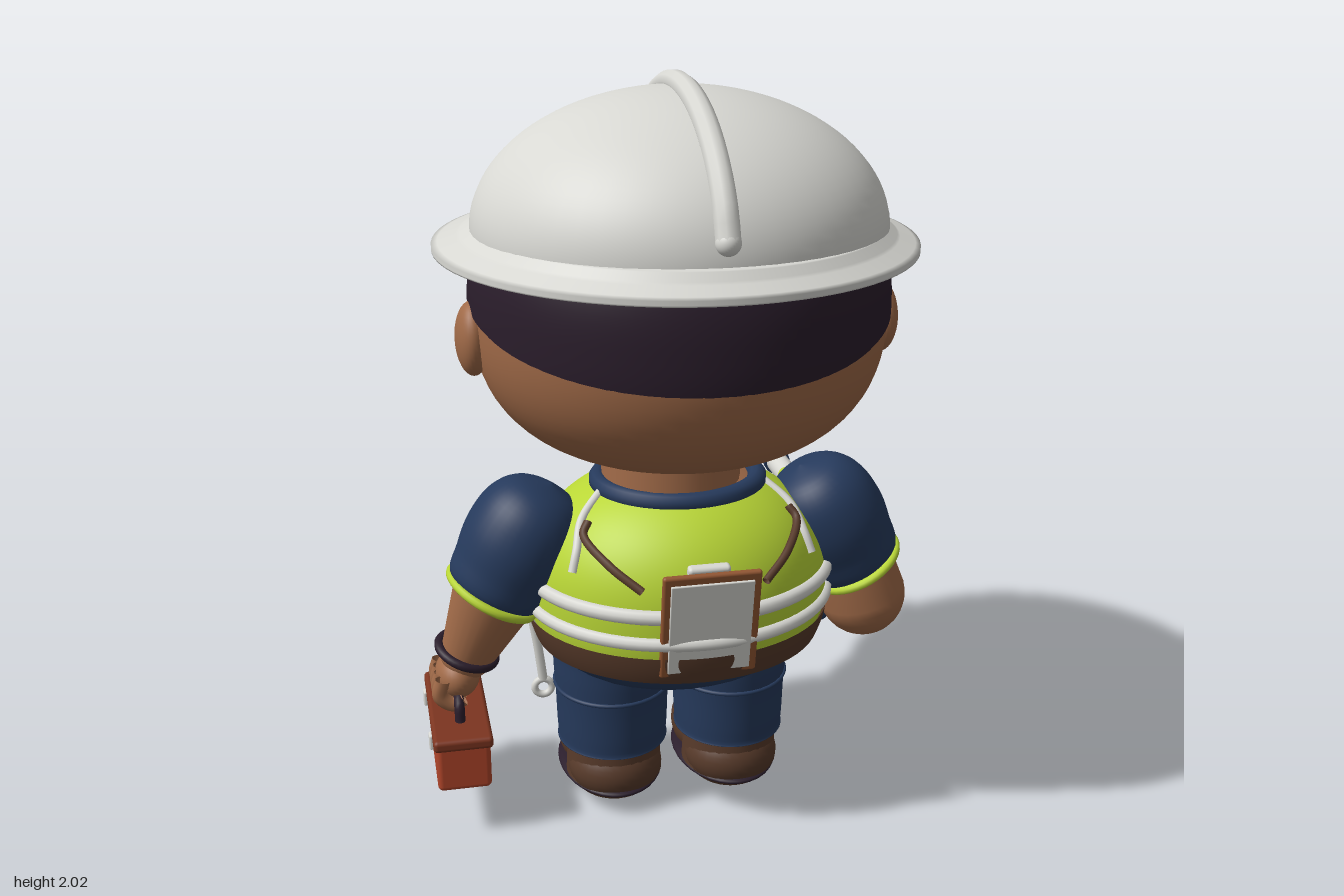
import * as THREE from 'three';
import { RoundedBoxGeometry } from 'three/addons/geometries/RoundedBoxGeometry.js';
import { ParametricGeometry } from 'three/addons/geometries/ParametricGeometry.js';

const paint = (name, color) => new THREE.MeshStandardMaterial({ name, color, side: THREE.DoubleSide });
const V = (x, y, z) => new THREE.Vector3(x, y, z);
const CX = 0.02, CZ = 0.13;

export function createModel() {
  const white = paint('white', 0xd8d8d3), lime = paint('lime', 0xb9d636), navy = paint('navy', 0x263a5c),
    skin = paint('skin', 0xa06a48), dark = paint('darkPlum', 0x2a1d2b), brown = paint('brown', 0x573a2a),
    red = paint('red', 0xb0452a), lidRed = paint('darkRed', 0x7c3520), yellow = paint('yellow', 0xcf9f30),
    tan = paint('tan', 0x935632);
  const root = new THREE.Group();

  // Helpers
  const add = (name, geo, mat, pos = [0, 0, 0], rot = [0, 0, 0], scale = [1, 1, 1]) => {
    const m = new THREE.Mesh(geo, mat);
    m.name = name;
    m.position.set(...pos);
    m.rotation.set(...rot);
    m.scale.set(...scale);
    root.add(m);
    return m;
  };
  const ball = (name, mat, pos, radii, rot) => add(name, new THREE.SphereGeometry(1, 32, 20), mat, pos, rot, radii);
  const box = (name, mat, pos, size, r = 0.01, rot) => add(name, new RoundedBoxGeometry(...size, 3, r), mat, pos, rot);
  const rod = (name, mat, pos, r1, r2, len, rot) => add(name, new THREE.CylinderGeometry(r1, r2, len, 28), mat, pos, rot);
  const tube = (name, mat, pts, r, closed = false) =>
    add(name, new THREE.TubeGeometry(new THREE.CatmullRomCurve3(pts, closed), closed ? 72 : 28, r, 10, closed), mat);
  const sheet = (name, mat, f, nu = 64, nv = 16) =>
    add(name, new ParametricGeometry((u, v, t) => t.copy(f(u, v)), nu, nv), mat);
  const aim = (mesh, from, to) => {
    mesh.position.copy(from);
    mesh.quaternion.setFromUnitVectors(V(0, 1, 0), to.clone().sub(from).normalize());
    return mesh;
  };
  // Tapered limb with round ends
  const limb = (name, mat, a, b, ra, rb) => {
    const len = a.distanceTo(b), pts = [];
    for (let i = 0; i <= 8; i++) pts.push(new THREE.Vector2(ra * Math.sin(i * Math.PI / 16), -ra * Math.cos(i * Math.PI / 16)));
    for (let i = 0; i <= 8; i++) pts.push(new THREE.Vector2(rb * Math.cos(i * Math.PI / 16), len + rb * Math.sin(i * Math.PI / 16)));
    return aim(add(name, new THREE.LatheGeometry(pts, 28), mat), a, b);
  };
  const smoothLathe = pts => new THREE.LatheGeometry(
    new THREE.SplineCurve(pts.map(p => new THREE.Vector2(...p))).getPoints(30).map(p => p.setX(Math.max(p.x, 0))), 36);

  // Head: rounded, slightly boxy egg
  const headR = y => Math.pow(Math.max(0, 1 - Math.pow(Math.abs((y - 1.42) / 0.405), 2.5)), 0.4);
  const headAt = (a, y, k = 1) => V(CX + 0.535 * k * headR(y) * Math.sin(a), y, 0.14 + 0.512 * k * headR(y) * Math.cos(a));
  sheet('head', skin, (u, v) => {
    const b = (v - 0.5) * Math.PI * 0.998, s = Math.sin(b);
    return headAt(u * 2 * Math.PI, 1.42 + 0.405 * Math.sign(s) * Math.pow(Math.abs(s), 0.8));
  }, 64, 40);
  sheet('hair', dark, (u, v) => {
    const a = (u - 0.5) * 2 * 2.1, z = 0.14 + 0.51 * Math.cos(a);
    const low = 1.32 + 0.215 * (0.65 - z) + 0.08 * Math.pow(Math.abs(u - 0.5) * 2, 20);
    return headAt(a, low + (1.62 - low) * v, v < 0.01 ? 0.99 : 1.015);
  }, 64, 14);
  // Face features, placed on the head surface
  const onFace = (name, mat, dx, y, radii, out = 0, roll = 0) => {
    const a = Math.PI - Math.asin(dx / (0.535 * headR(y))), p = headAt(a, y);
    p.x += out * Math.sin(a);
    p.z += out * Math.cos(a);
    const m = ball(name, mat, p.toArray(), radii);
    m.rotation.set(0, a, roll, 'YXZ');
    return m;
  };
  for (const s of [-1, 1]) {
    ball('ear', skin, [CX + s * 0.535, 1.36, 0.16], [0.045, 0.096, 0.078]);
    onFace('eye', dark, s * 0.19, 1.4, [0.052, 0.067, 0.022]);
    onFace('eyeGlint', white, s * 0.19 + 0.015, 1.43, [0.012, 0.014, 0.008], 0.019);
    onFace('eyebrow', dark, s * 0.2, 1.525, [0.105, 0.042, 0.03], 0, s * 0.15);
    onFace('moustache', dark, s * 0.062, 1.19, [0.075, 0.03, 0.035], 0.005, s * 0.25);
  }
  ball('nose', skin, [CX, 1.325, -0.388], [0.055, 0.055, 0.045]);
  onFace('mouth', lidRed, 0, 1.14, [0.085, 0.035, 0.022]);
  onFace('lip', tan, 0, 1.115, [0.06, 0.014, 0.03]);
  rod('neck', skin, [0, 0.98, CZ], 0.18, 0.19, 0.2);

  // Hard hat
  add('helmetDome', new THREE.SphereGeometry(1, 56, 24, 0, Math.PI * 2, 0, Math.PI / 2), white, [CX, 1.62, 0.14], [0, 0, 0], [0.53, 0.348, 0.508]);
  const brim = [[0.48, 1.57], [0.6, 1.56], [0.632, 1.566], [0.632, 1.58], [0.57, 1.605], [0.535, 1.63], [0.49, 1.635]];
  sheet('helmetBrim', white, (u, v) => {
    const f = v * (brim.length - 1), i = Math.min(Math.floor(f), brim.length - 2), k = f - i;
    const r = brim[i][0] + (brim[i + 1][0] - brim[i][0]) * k, y = brim[i][1] + (brim[i + 1][1] - brim[i][1]) * k;
    const a = u * Math.PI * 2, c = 0.14 - 0.055 * (r - 0.5) / 0.135;
    return V(CX + r * 0.985 * Math.sin(a), y, c + r * 1.008 * Math.cos(a));
  }, 72, 24);
  const ridge = [];
  for (let i = 0; i <= 14; i++) {
    const a = 0.2 + i * (2.68 - 0.2) / 14;
    ridge.push(V(CX, 1.62 + 0.352 * Math.sin(a), 0.14 + 0.52 * Math.cos(a)));
  }
  tube('helmetRidge', white, ridge, 0.03);
  for (const p of [ridge[0], ridge[14]]) ball('ridgeEnd', white, p.toArray(), [0.03, 0.03, 0.03]);
  box('helmetClip', lime, [CX, 1.82, -0.297], [0.125, 0.03, 0.055], 0.01, [-0.7, 0, 0]);
  for (const s of [-1, 1]) box('clipSlot', navy, [CX + s * 0.038, 1.832, -0.306], [0.022, 0.016, 0.03], 0.004, [-0.7, 0, 0]);

  // Torso: chest, vest, belt; angle 0 is the back, PI is the chest
  const bodyAt = (a, y, off = 0) => {
    const r = 0.41 * Math.sqrt(Math.max(0, 1 - Math.pow(Math.abs((y - 0.64) / 0.34), 2.4)));
    return V(CX + (r + off) * Math.sin(a), y, CZ + (r * 0.88 + off) * Math.cos(a));
  };
  const ring = (name, mat, y, r, off = 0) =>
    tube(name, mat, Array.from({ length: 40 }, (_, i) => bodyAt(i * Math.PI / 20, y, off)), r, true);
  const gap = y => Math.max(0, (y - 0.73) / 0.2) * 0.8;
  sheet('chest', skin, (u, v) => bodyAt(u * 2 * Math.PI, 0.5 + 0.475 * v, -0.02), 64, 24);
  sheet('vest', lime, (u, v) => {
    const y = 0.56 + 0.38 * v;
    return bodyAt((u - 0.5) * 2 * (Math.PI - gap(y)), y);
  }, 72, 28);
  sheet('belt', brown, (u, v) => bodyAt(u * 2 * Math.PI, 0.495 + 0.08 * v, 0.008), 64, 8);
  ring('vestStripe', white, 0.69, 0.02);
  ring('vestStripe', white, 0.615, 0.018);
  ring('shirtCollar', navy, 0.935, 0.026, -0.006);
  for (const s of [-1, 1]) {
    const lapel = [0.73, 0.78, 0.83, 0.88, 0.93];
    tube('lapelPiping', white, lapel.map(y => bodyAt(Math.PI - s * gap(y), y, 0.002)), 0.012);
    tube('shirtLapel', navy, lapel.slice(1).map(y => bodyAt(Math.PI - s * (gap(y) - 0.09), y, -0.012)), 0.018);
    tube('armholePiping', white, [[1.3, 0.935], [1.12, 0.88], [0.98, 0.82], [0.95, 0.77]].map(([a, y]) => bodyAt(s * a, y, 0.003)), 0.012);
    tube('backStrap', brown, [[1.02, 0.885], [0.98, 0.86], [0.66, 0.81], [0.41, 0.76]].map(([a, y]) => bodyAt(s * a, y, 0.012)), 0.011);
    tube('lanyard', tan, [[0.6, 0.92], [0.3, 0.85], [0.03, 0.79]].map(([a, y]) => bodyAt(Math.PI - s * a, y, -0.01)), 0.01);
  }
  box('badge', white, [CX, 0.765, -0.212], [0.045, 0.07, 0.012], 0.005, [-0.3, 0, 0]);
  box('zip', white, [CX, 0.655, -0.234], [0.022, 0.15, 0.016], 0.005);
  box('beltBuckle', white, [CX, 0.535, -0.228], [0.09, 0.055, 0.02], 0.006);
  box('buckleCentre', navy, [CX, 0.535, -0.238], [0.05, 0.028, 0.012], 0.004);

  // Clipboard on the back
  const tilt = [0.17, 0, 0];
  box('clipboard', tan, [0.027, 0.67, 0.49], [0.255, 0.31, 0.018], 0.008, tilt);
  box('paper', white, [0.027, 0.665, 0.501], [0.215, 0.27, 0.008], 0.003, tilt);
  box('paperClip', white, [0.025, 0.815, 0.483], [0.11, 0.032, 0.03], 0.01, tilt);

  // Trousers and shoes
  ball('hips', navy, [0.015, 0.5, CZ], [0.355, 0.145, 0.285]);
  for (const s of [-1, 1]) {
    const x = 0.005 + s * 0.168;
    add('trouserLeg', smoothLathe([[0, 0.165], [0.14, 0.165], [0.152, 0.18], [0.157, 0.3], [0.162, 0.42], [0.15, 0.52], [0, 0.56]]), navy, [x, 0, 0.11], [0, 0, 0], [1, 1, 1.06]);
    add('legSeam', new THREE.TorusGeometry(0.159, 0.006, 8, 48), navy, [x, 0.335, 0.11], [Math.PI / 2, 0, 0], [1, 1.06, 1]);
    box('thighPocket', navy, [x + s * 0.03, 0.36, -0.06], [0.13, 0.15, 0.04], 0.015, [0, s * -0.2, 0]);
    box('pocketFlap', navy, [x + s * 0.03, 0.42, -0.068], [0.14, 0.035, 0.045], 0.012, [0, s * -0.2, 0]);
    rod('bootShaft', brown, [x, 0.125, 0.13], 0.128, 0.135, 0.13);
    ball('bootToe', brown, [x, 0.1, -0.005], [0.137, 0.115, 0.155]);
    ball('bootHeel', brown, [x, 0.09, 0.15], [0.132, 0.1, 0.125]);
    ball('bootSole', dark, [x, 0.05, 0.058], [0.147, 0.026, 0.22]);
    ball('bootTread', dark, [x, 0.03, 0.06], [0.1, 0.03, 0.17]);
  }

  // Belt tools
  ball('tapeMeasure', yellow, [-0.2, 0.47, -0.19], [0.07, 0.062, 0.055]);
  box('pouch', tan, [0.375, 0.46, 0], [0.06, 0.13, 0.11], 0.02, [0, 0.3, 0]);
  tube('wrenchHandle', white, [V(-0.385, 0.56, 0.1), V(-0.37, 0.47, 0.1), V(-0.355, 0.345, 0.1)], 0.013);
  add('wrenchRing', new THREE.TorusGeometry(0.024, 0.01, 10, 24), white, [-0.355, 0.32, 0.1]);

  // Sleeves
  for (const s of [-1, 1]) {
    const cuff = V(CX + s * 0.51, 0.64, CZ), top = V(CX + s * 0.412, 0.814, CZ);
    aim(add('sleeve', smoothLathe([[0, 0.005], [0.12, 0], [0.145, 0.08], [0.156, 0.17], [0.14, 0.26], [0.09, 0.32], [0, 0.345]]), navy), cuff, top);
    const trim = aim(add('sleeveTrim', new THREE.TorusGeometry(0.124, 0.012, 10, 40).rotateX(Math.PI / 2), lime), cuff, top);
    trim.scale.set(1, 1, 1.1);
  }

  // Arm carrying the toolbox
  limb('leftForearm', skin, V(-0.485, 0.63, CZ), V(-0.56, 0.45, 0.1), 0.115, 0.075);
  aim(add('bracelet', new THREE.TorusGeometry(0.08, 0.013, 10, 36).rotateX(Math.PI / 2), dark), V(-0.562, 0.455, 0.1), V(-0.5, 0.63, CZ));
  ball('leftHand', skin, [-0.59, 0.385, 0.09], [0.062, 0.065, 0.085]);
  for (let i = 0; i < 4; i++) {
    const z = 0.03 + i * 0.042;
    tube('leftFinger', skin, [V(-0.635, 0.4, z), V(-0.645, 0.355, z), V(-0.61, 0.325, z), V(-0.58, 0.34, z)], 0.021);
  }
  limb('leftThumb', skin, V(-0.55, 0.38, 0.03), V(-0.545, 0.33, 0.02), 0.024, 0.02);
  box('toolboxBody', red, [-0.595, 0.2, 0.09], [0.145, 0.14, 0.39], 0.015);
  box('toolboxLid', lidRed, [-0.595, 0.272, 0.09], [0.16, 0.034, 0.41], 0.012);
  tube('toolboxHandle', dark, [V(-0.595, 0.285, -0.01), V(-0.595, 0.335, 0.005), V(-0.595, 0.345, 0.09), V(-0.595, 0.335, 0.175), V(-0.595, 0.285, 0.19)], 0.014);
  for (const z of [-0.03, 0.21]) box('toolboxLatch', white, [-0.673, 0.25, z], [0.02, 0.045, 0.03], 0.006);

  // Arm holding the power tool
  limb('rightElbow', skin, V(0.53, 0.62, CZ), V(0.555, 0.54, 0.13), 0.115, 0.122);
  limb('rightForearm', skin, V(0.555, 0.54, 0.13), V(0.53, 0.48, -0.11), 0.12, 0.078);
  ball('rightHand', skin, [0.53, 0.47, -0.16], [0.068, 0.095, 0.08]);
  for (let i = 0; i < 4; i++) {
    const y = 0.395 + i * 0.042;
    tube('rightFinger', skin, [V(0.585, y, -0.14), V(0.595, y, -0.2), V(0.555, y, -0.255), V(0.5, y, -0.235)], 0.025);
  }
  limb('rightThumb', skin, V(0.47, 0.5, -0.15), V(0.48, 0.55, -0.21), 0.03, 0.024);
  limb('toolGrip', navy, V(0.525, 0.34, -0.17), V(0.525, 0.6, -0.21), 0.034, 0.035);
  box('toolBody', lime, [0.527, 0.635, -0.31], [0.105, 0.115, 0.38], 0.03);
  box('toolBand', navy, [0.527, 0.635, -0.315], [0.112, 0.123, 0.045], 0.025);
  tube('toolTrigger', navy, [V(0.527, 0.58, -0.33), V(0.527, 0.53, -0.315), V(0.527, 0.5, -0.27)], 0.014);
  limb('toolCanister', white, V(0.515, 0.715, -0.26), V(0.594, 0.715, -0.26), 0.057, 0.057);
  const along = [-Math.PI / 2, 0, 0];
  rod('toolBarrel', white, [0.527, 0.635, -0.58], 0.035, 0.035, 0.18, along);
  rod('barrelRing', navy, [0.527, 0.635, -0.675], 0.042, 0.042, 0.022, along);
  limb('barrelTip', lime, V(0.527, 0.635, -0.675), V(0.527, 0.635, -0.703), 0.025, 0.024);

  return root;
}
